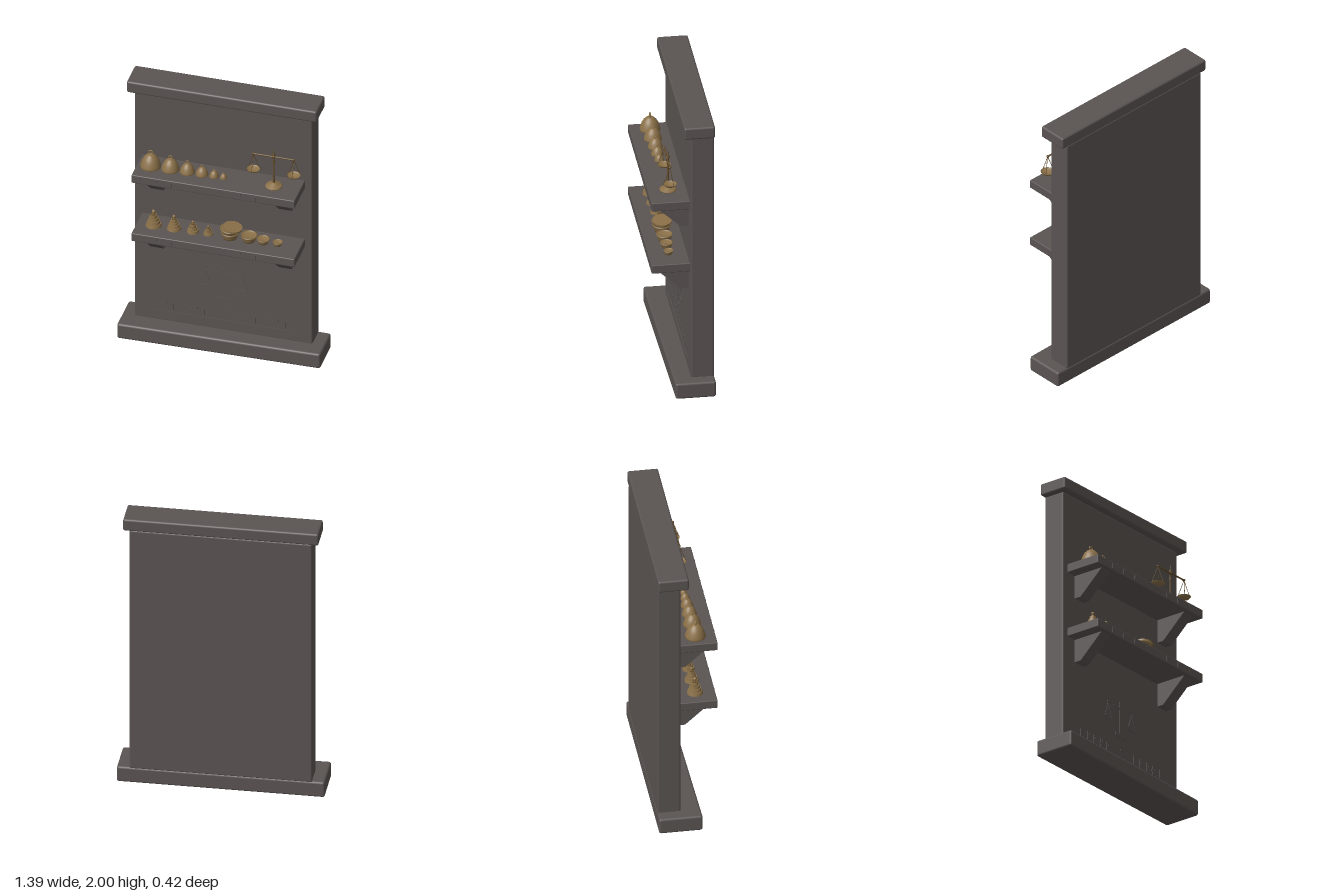
import * as THREE from 'three';
import { RoundedBoxGeometry } from 'three/addons/geometries/RoundedBoxGeometry.js';

const stone = new THREE.MeshStandardMaterial({ color: 0x5a5452 });
stone.name = 'dark stone';
const brass = new THREE.MeshStandardMaterial({ color: 0x8a7048, side: THREE.DoubleSide });
brass.name = 'aged brass';
const bronze = new THREE.MeshStandardMaterial({ color: 0x644d2b });
bronze.name = 'dark bronze';

const V = (x, y, z) => new THREE.Vector3(x, y, z);
const WALL = -0.049, SHELF_FRONT = 0.206, ITEM_Z = 0.072;

function add(parent, name, geo, mat, x = 0, y = 0, z = 0) {
  const m = new THREE.Mesh(geo, mat);
  m.name = name;
  m.position.set(x, y, z);
  parent.add(m);
  return m;
}

function group(parent, name, x = 0, y = 0, z = 0) {
  const g = new THREE.Group();
  g.name = name;
  g.position.set(x, y, z);
  parent.add(g);
  return g;
}

// Box given by its limits, with softened edges
function block(parent, name, [x0, x1], [y0, y1], [z0, z1], r) {
  const geo = new RoundedBoxGeometry(x1 - x0, y1 - y0, z1 - z0, 2, r);
  return add(parent, name, geo, stone, (x0 + x1) / 2, (y0 + y1) / 2, (z0 + z1) / 2);
}

function lathe(points, seg = 28) {
  return new THREE.LatheGeometry(points.map(([r, y]) => new THREE.Vector2(r, y)), seg);
}

// Thin rod between two points
function rod(parent, name, a, b, r, mat = bronze) {
  const m = add(parent, name, new THREE.CylinderGeometry(r, r, a.distanceTo(b), 8), mat);
  m.position.copy(a).add(b).multiplyScalar(0.5);
  m.quaternion.setFromUnitVectors(V(0, 1, 0), b.clone().sub(a).normalize());
  return m;
}

// Flat relief bar between two points on a front face
function bar(parent, name, x0, y0, x1, y1, w, d = 0.008) {
  const geo = new THREE.BoxGeometry(Math.hypot(x1 - x0, y1 - y0), w, d);
  const m = add(parent, name, geo, stone, (x0 + x1) / 2, (y0 + y1) / 2, 0);
  m.rotation.z = Math.atan2(y1 - y0, x1 - x0);
  return m;
}

// Hooked tally mark, some with a cross stroke
function tally(parent, x, y, h, z, crossed) {
  const g = group(parent, 'tallyMark', x, y, z);
  const w = h * 0.2;
  bar(g, 'stem', 0, -h / 2, 0, h / 2, w, 0.005);
  bar(g, 'hook', 0, h / 2 - w / 2, h * 0.42, h / 2 - w / 2, w, 0.006);
  bar(g, 'hookTip', h * 0.36, h / 2, h * 0.36, h * 0.12, w, 0.004);
  if (crossed) bar(g, 'crossStroke', -h * 0.3, -h * 0.05, h * 0.3, -h * 0.05, w, 0.0045);
}

// Shelf with two wedge brackets and marks along its front edge
function shelf(root, y) {
  const g = group(root, 'shelf');
  block(g, 'shelfBoard', [-0.56, 0.56], [y - 0.062, y], [-0.06, SHELF_FRONT], 0.006);
  const s = new THREE.Shape();
  s.moveTo(0.06, 0).lineTo(-0.18, 0).lineTo(0, -0.165).lineTo(0.06, -0.165).closePath();
  for (const x of [-0.44, 0.44]) {
    const geo = new THREE.ExtrudeGeometry(s, { depth: 0.09, bevelEnabled: false });
    geo.rotateY(Math.PI / 2); // profile runs along -z, width along x
    add(g, 'bracket', geo, stone, x - 0.045, y - 0.06, 0);
  }
  for (let i = 0; i < 8; i++) tally(g, -0.405 + i * 0.116, y - 0.031, 0.036, SHELF_FRONT, false);
}

// Bell-shaped weight with a ring handle
function bellWeight(root, x, y, r) {
  const g = group(root, 'bellWeight', x, y, ITEM_Z);
  g.scale.setScalar(r);
  add(g, 'bellBody', lathe([[0, 0], [0.93, 0], [1, 0.05], [1, 0.2], [0.93, 0.42], [0.82, 0.75],
    [0.64, 1.08], [0.4, 1.32], [0.24, 1.42], [0, 1.46]], 32), brass);
  add(g, 'ring', new THREE.TorusGeometry(0.2, 0.065, 10, 24), brass, 0, 1.62, 0);
}

// Stacked disc weights with a knob
function discStack(root, x, y, r, h, tiers) {
  const g = group(root, 'discStack', x, y, ITEM_Z);
  const step = h * 0.72 / tiers;
  for (let i = 0; i < tiers; i++) {
    const ri = r * (1 - 0.68 * i / (tiers - 0.3));
    add(g, 'disc', new THREE.CylinderGeometry(ri * 0.9, ri, step * 0.9, 28), brass, 0, (i + 0.45) * step, 0);
    add(g, 'neck', new THREE.CylinderGeometry(ri * 0.7, ri * 0.7, step * 0.2, 20), bronze, 0, (i + 0.95) * step, 0);
  }
  add(g, 'stem', new THREE.CylinderGeometry(r * 0.12, r * 0.16, h * 0.2, 12), brass, 0, h * 0.8, 0);
  add(g, 'knob', new THREE.SphereGeometry(h * 0.1, 16, 12), brass, 0, h * 0.9, 0);
}

// Shallow open cup
function cup(root, x, y, r, h) {
  const g = group(root, 'cupWeight', x, y, ITEM_Z);
  add(g, 'cupBody', lathe([[0, 0], [r * 0.72, 0], [r * 0.84, h * 0.35], [r * 0.93, h * 0.8],
    [r, h * 0.82], [r, h], [r * 0.88, h], [r * 0.84, h * 0.8], [0, h * 0.72]], 32), brass);
  return g;
}

// Balance with a turned post, beam and two hanging pans
function balance(root, x, y) {
  const g = group(root, 'balanceScale', x, y, ITEM_Z);
  add(g, 'foot', lathe([[0, 0], [0.055, 0], [0.057, 0.006], [0.05, 0.013], [0.028, 0.02],
    [0.014, 0.03], [0, 0.034]]), brass);
  add(g, 'post', lathe([[0.01, 0.02], [0.007, 0.04], [0.006, 0.07], [0.01, 0.078], [0.006, 0.086],
    [0.006, 0.19], [0.01, 0.197], [0.006, 0.205], [0.006, 0.235], [0.012, 0.248], [0.006, 0.262],
    [0.003, 0.27], [0.0015, 0.3], [0, 0.302]], 16), bronze);
  rod(g, 'beam', V(-0.14, 0.239, 0.006), V(0.14, 0.239, 0.006), 0.0055);
  add(g, 'pivot', new THREE.SphereGeometry(0.013, 16, 12), bronze, 0, 0.239, 0.004);
  for (const s of [-1, 1]) {
    const p = group(g, 'hangingPan', s * 0.139, 0, 0.006);
    add(p, 'beamEnd', new THREE.SphereGeometry(0.009, 12, 10), bronze, 0, 0.239, 0);
    add(p, 'pan', lathe([[0, 0.098], [0.022, 0.1], [0.037, 0.107], [0.046, 0.119], [0.043, 0.119],
      [0.035, 0.11], [0, 0.102]]), brass);
    for (let i = 0; i < 3; i++) {
      const a = Math.PI / 2 + i * Math.PI * 2 / 3;
      rod(p, 'panChain', V(0, 0.237, 0), V(0.043 * Math.cos(a), 0.118, 0.043 * Math.sin(a)), 0.002);
    }
  }
}

// Low relief of a balance on the wall
function wallRelief(root) {
  const g = group(root, 'balanceRelief', 0, 0, WALL);
  bar(g, 'reliefPost', 0, 0.36, 0, 0.585, 0.026);
  bar(g, 'reliefFoot', -0.056, 0.356, 0.056, 0.356, 0.024, 0.009);
  const top = add(g, 'reliefFinial', new THREE.CylinderGeometry(0.015, 0.015, 0.009, 20), stone, 0, 0.588, 0);
  top.rotation.x = Math.PI / 2;
  for (const s of [-1, 1]) {
    bar(g, 'reliefBeam', 0, 0.545, s * 0.075, 0.568, 0.016, 0.007);
    bar(g, 'reliefBeamTip', s * 0.07, 0.568, s * 0.135, 0.566, 0.014, 0.006);
    for (const k of [-1, 1]) bar(g, 'reliefChain', s * 0.125, 0.56, s * 0.125 + k * 0.036, 0.45, 0.009, 0.005);
    const bowl = new THREE.Shape();
    bowl.moveTo(-0.045, 0).absellipse(0, 0, 0.045, 0.024, Math.PI, Math.PI * 2, false);
    bowl.closePath();
    add(g, 'reliefPan', new THREE.ExtrudeGeometry(bowl, { depth: 0.004, bevelEnabled: false, curveSegments: 10 }),
      stone, s * 0.125, 0.452, 0);
  }
  bar(g, 'reliefLine', -0.467, 0.183, 0.467, 0.183, 0.014);
  for (let i = 0; i < 13; i++) tally(root, -0.418 + i * 0.07, 0.235, 0.06, WALL, i % 4 === 3);
}

export function createModel() {
  const root = new THREE.Group();
  root.name = 'weightsDisplay';

  // Stone slab, cap and slightly skewed base
  block(root, 'slab', [-0.61, 0.61], [0.105, 1.92], [-0.204, WALL], 0.012);
  block(root, 'cap', [-0.653, 0.653], [1.914, 2], [-0.206, 0], 0.013);
  const base = block(root, 'base', [-0.695, 0.695], [0, 0.114], [-0.206, 0.075], 0.015);
  const p = base.geometry.attributes.position;
  for (let i = 0; i < p.count; i++) if (p.getZ(i) > 0) p.setZ(i, p.getZ(i) - 0.016 * p.getX(i));

  const upper = 1.407, lower = 0.942;
  shelf(root, upper);
  shelf(root, lower);
  wallRelief(root);

  // Upper shelf
  [[-0.465, 0.069], [-0.33, 0.06], [-0.213, 0.05], [-0.113, 0.042], [-0.03, 0.032], [0.035, 0.024]]
    .forEach(([x, r]) => bellWeight(root, x, upper, r));
  balance(root, 0.38, upper);

  // Lower shelf
  [[-0.445, 0.054, 0.122, 4], [-0.305, 0.048, 0.107, 4], [-0.175, 0.041, 0.086, 3], [-0.07, 0.033, 0.068, 3]]
    .forEach(([x, r, h, n]) => discStack(root, x, lower, r, h, n));
  [[0.08, 0.062, 0.05], [0.21, 0.055, 0.046], [0.308, 0.043, 0.034], [0.407, 0.033, 0.027]]
    .forEach(([x, r, h]) => cup(root, x, lower, r, h));
  cup(root, 0.08, lower + 0.037, 0.067, 0.04).name = 'nestedCup';
  const lid = add(root, 'tiltedLid', new THREE.CylinderGeometry(0.064, 0.064, 0.012, 32), brass, 0.098, 1.026, ITEM_Z);
  lid.rotation.z = -0.14;
  return root;
}
